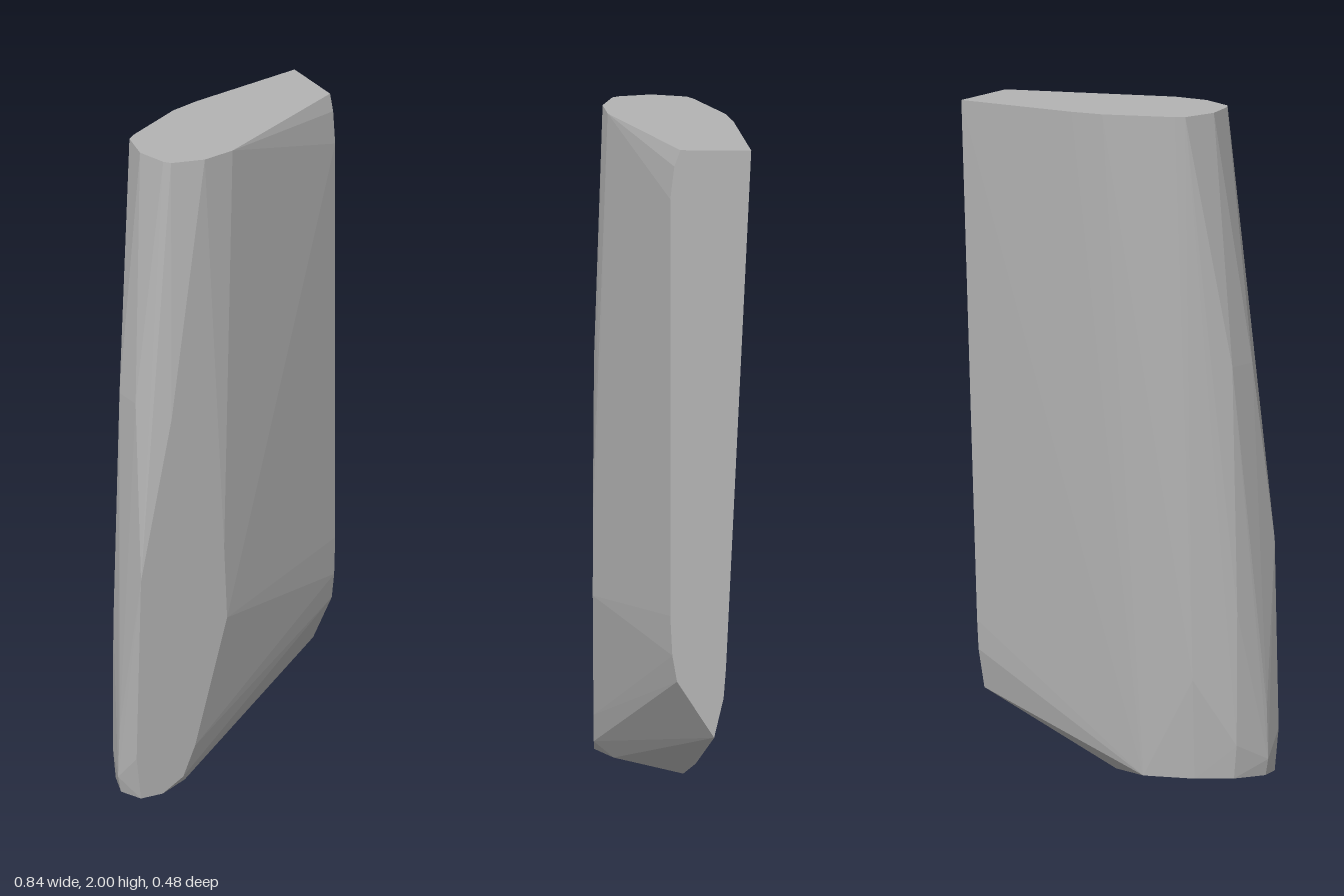
import * as THREE from 'three';
import { ConvexGeometry } from 'three/addons/geometries/ConvexGeometry.js';

const grey = new THREE.MeshStandardMaterial({ color: 0xb3b3b3 });
grey.name = 'stone grey';

export function createModel() {
  const group = new THREE.Group();
  group.name = 'slab';
  const points = [];
  const add = (list, toPoint) => list.forEach((p) => points.push(toPoint(...p)));

  // flat top outline (x, z)
  add([[0.42, -0.24], [0.05, -0.18], [-0.045, -0.155], [-0.24, -0.055], [-0.265, -0.035], [-0.29, 0.07],
    [-0.265, 0.165], [-0.25, 0.185], [-0.15, 0.212], [-0.045, 0.195], [0.42, -0.03]],
  (x, z) => new THREE.Vector3(x, 2, z));

  // small flat foot (x, z)
  add([[0, -0.03], [-0.13, -0.065], [-0.28, -0.01], [-0.37, 0.065], [-0.41, 0.165],
    [-0.385, 0.24], [-0.31, 0.24], [-0.2, 0.18]],
  (x, z) => new THREE.Vector3(x, 0, z));

  // straight cut side (y, z)
  add([[1.95, -0.012], [1.85, 0], [0.58, 0], [0.46, -0.006], [0.38, -0.02], [0.21, -0.13],
    [0.33, -0.158], [0.42, -0.165]],
  (y, z) => new THREE.Vector3(0.42, y, z));

  // flat front patch (x, y)
  add([[-0.4, 0.13], [-0.385, 0.7], [-0.28, 1.2], [-0.1, 0.75], [-0.09, 0.52], [-0.2, 0.13], [-0.24, 0.04]],
    (x, y) => new THREE.Vector3(x, y, 0.24));

  // rounded narrow edge (x, y, z)
  add([[-0.42, 0.05, 0.165], [-0.415, 0.2, 0.165], [-0.36, 1.24, 0.165], [-0.36, 1.24, 0.07],
    [-0.38, 0.1, 0.065], [-0.38, 0.5, 0.068], [-0.285, 0.3, -0.025]],
  (x, y, z) => new THREE.Vector3(x, y, z));

  const body = new THREE.Mesh(new ConvexGeometry(points), grey);
  body.name = 'body';
  group.add(body);
  return group;
}
